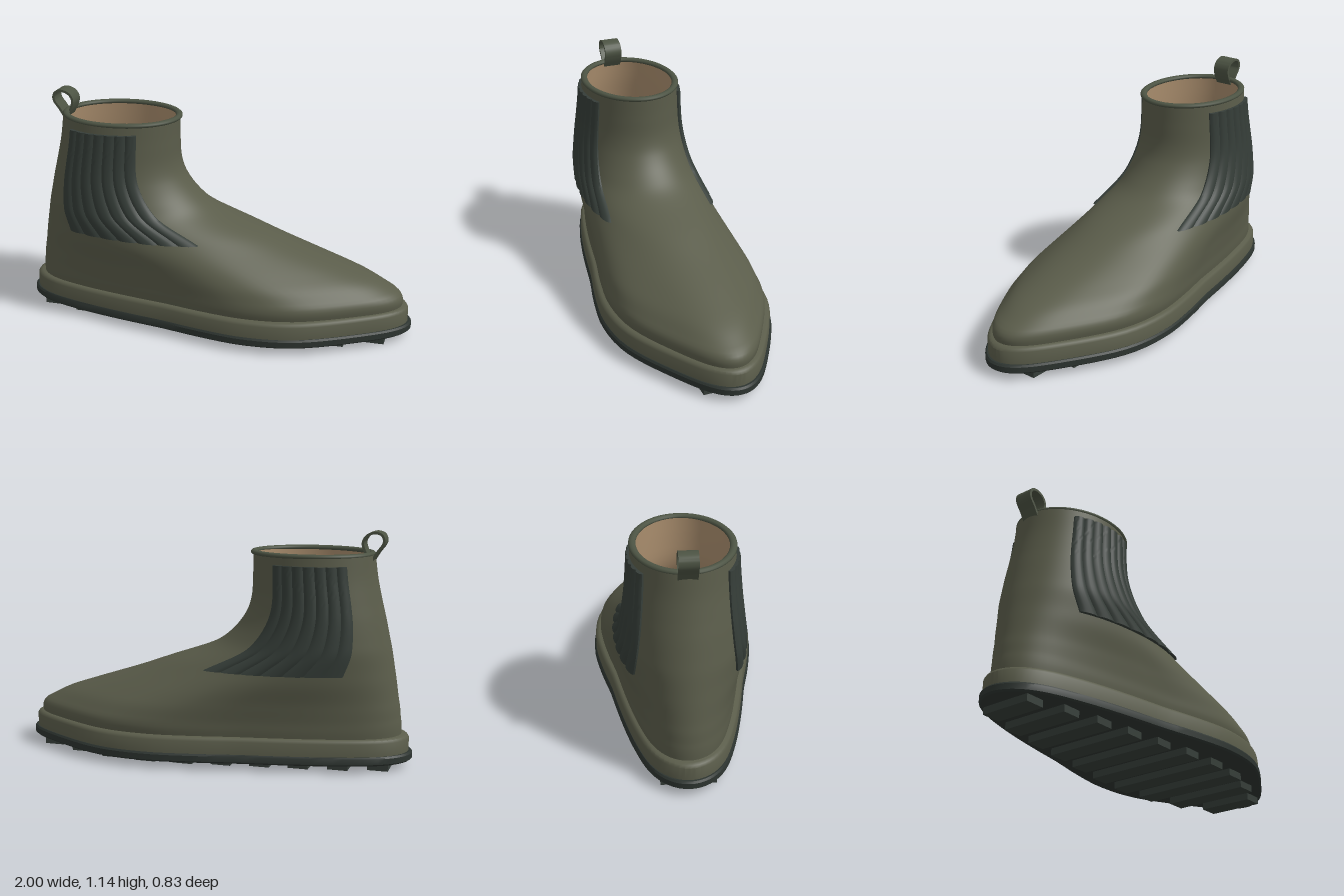
import * as THREE from 'three';
import { toCreasedNormals } from 'three/addons/utils/BufferGeometryUtils.js';

const material = (name, color, side = THREE.FrontSide) =>
  Object.assign(new THREE.MeshStandardMaterial({ color, side }), { name });

// Smooth interpolation through rows of [key, value, value, ...]
function sample(table, key, col) {
  const n = table.length;
  let i = 0;
  while (i < n - 2 && key > table[i + 1][0]) i++;
  const slope = (k) => {
    const a = table[Math.max(k - 1, 0)], b = table[Math.min(k + 1, n - 1)];
    return (b[col] - a[col]) / (b[0] - a[0]);
  };
  const p = table[i], q = table[i + 1], h = q[0] - p[0];
  const t = THREE.MathUtils.clamp((key - p[0]) / h, 0, 1), t2 = t * t, t3 = t2 * t;
  return (2 * t3 - 3 * t2 + 1) * p[col] + (t3 - 2 * t2 + t) * h * slope(i)
    + (3 * t2 - 2 * t3) * q[col] + (t3 - t2) * h * slope(i + 1);
}

// Foot plan relative to an ellipse, from heel (-1) to toe (1)
const PLAN = [[-1, 0.9], [-0.7, 0.79], [-0.24, 0.82], [0, 0.92], [0.25, 1.03],
  [0.51, 1.05], [0.83, 0.87], [1, 0.82]];

// Upper: height, back x, front x, half width, blend from foot plan to ellipse
const UPPER = [
  [0.15, -0.945, 0.95, 0.375, 0], [0.19, -0.945, 0.953, 0.382, 0],
  [0.22, -0.943, 0.935, 0.38, 0.03], [0.24, -0.94, 0.9, 0.376, 0.07],
  [0.29, -0.935, 0.8, 0.366, 0.2], [0.337, -0.927, 0.665, 0.352, 0.36],
  [0.42, -0.915, 0.414, 0.327, 0.72], [0.48, -0.905, 0.25, 0.308, 0.92],
  [0.567, -0.89, 0.01, 0.29, 1], [0.636, -0.875, -0.09, 0.278, 1],
  [0.727, -0.855, -0.163, 0.265, 1], [0.81, -0.835, -0.193, 0.255, 1],
  [0.92, -0.812, -0.2, 0.246, 1], [1.035, -0.797, -0.2, 0.24, 1],
];

const planWidth = (u) => Math.sqrt(Math.max(0, 1 - u * u)) * sample(PLAN, u, 1);

function upperPoint(a, y, offset = 0) {
  const [back, front, w, blend] = [1, 2, 3, 4].map((c) => sample(UPPER, y, c));
  const at = (t) => {
    const g = THREE.MathUtils.lerp(sample(PLAN, Math.cos(t), 1), 1, blend);
    return [(back + front) / 2 + (front - back) / 2 * Math.cos(t), w * Math.sin(t) * g];
  };
  const [x, z] = at(a), [x0, z0] = at(a - 0.01), [x1, z1] = at(a + 0.01);
  const len = Math.hypot(x1 - x0, z1 - z0);
  return [x + offset * (z1 - z0) / len, y, z - offset * (x1 - x0) / len];
}

// Surface from rows of points; closed rows wrap round
function grid(rows, cols, closed, point) {
  const pos = [], index = [], stride = closed ? cols : cols + 1;
  for (let i = 0; i <= rows; i++)
    for (let j = 0; j < stride; j++) pos.push(...point(i, j));
  for (let i = 0; i < rows; i++)
    for (let j = 0; j < cols; j++) {
      const a = i * stride + j, b = i * stride + (j + 1) % stride;
      index.push(a, a + stride, b, b, a + stride, b + stride);
    }
  const g = new THREE.BufferGeometry();
  g.setAttribute('position', new THREE.Float32BufferAttribute(pos, 3));
  g.setIndex(index);
  g.computeVertexNormals();
  return g;
}

// Foot-shaped layer from a profile of [y, half length, half width]
function soleLayer(profile) {
  const n = 96;
  return toCreasedNormals(grid(profile.length - 1, n, true, (i, j) => {
    const [y, l, w] = profile[i], a = j / n * Math.PI * 2;
    return [l * Math.cos(a), y, w * Math.sin(a) * sample(PLAN, Math.cos(a), 1)];
  }), 0.6);
}

export function createModel() {
  const boot = new THREE.Group();
  boot.name = 'boot';
  const olive = material('olive upper', 0x5a5c4a);
  const trim = material('trim green', 0x4c5343);
  const elastic = material('dark elastic', 0x353d38);
  const rubber = material('dark rubber', 0x2d3430);
  const tan = material('tan lining', 0xa98d6d, THREE.DoubleSide);
  const add = (name, geometry, mat) => {
    const mesh = new THREE.Mesh(geometry, mat);
    mesh.name = name;
    boot.add(mesh);
    return mesh;
  };

  // Upper
  const N = 96, ROWS = 70;
  add('upper', grid(ROWS, N, true, (i, j) =>
    upperPoint(j / N * Math.PI * 2, 0.15 + 0.885 * i / ROWS)), olive);

  // Lining with a closed floor
  add('lining', toCreasedNormals(grid(21, N, true, (i, j) => {
    if (i === 0) return [-0.35, 0.4, 0];
    return upperPoint(j / N * Math.PI * 2, 0.4 + 0.635 * (i - 1) / 20, -0.02);
  }), 0.8), tan);

  // Rolled collar
  const ring = [];
  for (let k = 0; k < 48; k++) {
    const a = k / 48 * Math.PI * 2;
    ring.push(new THREE.Vector3(-0.493 + 0.289 * Math.cos(a), 0, 0.229 * Math.sin(a)));
  }
  const collar = add('collar', new THREE.TubeGeometry(
    new THREE.CatmullRomCurve3(ring, true), 96, 0.017, 10, true), trim);
  collar.position.y = 1.033;
  collar.scale.y = 0.7;

  // Ribbed elastic side panels
  const ribs = 7, per = 6, cols = ribs * per + 2, rows = 32;
  for (const side of [1, -1]) {
    const panel = grid(rows, cols, false, (i, j) => {
      const c = THREE.MathUtils.clamp(j - 1, 0, ribs * per);
      const r = THREE.MathUtils.clamp(i - 1, 0, rows - 2) / (rows - 2);
      const y = 0.472 + 0.516 * r;
      const start = THREE.MathUtils.degToRad(side > 0 ? 60 : -130);
      const a = start + THREE.MathUtils.degToRad(70) * c / (ribs * per);
      const rim = i === 0 || i === rows || j === 0 || j === cols;
      const bump = Math.sqrt(Math.sin((c % per) / per * Math.PI));
      return upperPoint(a, y, rim ? -0.008 : 0.009 + 0.009 * bump);
    });
    add(side > 0 ? 'frontElasticPanel' : 'backElasticPanel',
      toCreasedNormals(panel, 0.7), elastic);
  }

  // Heel pull loop
  const path = new THREE.CatmullRomCurve3([
    [-0.787, 1.0], [-0.815, 1.045], [-0.845, 1.09], [-0.838, 1.124], [-0.805, 1.137],
    [-0.763, 1.122], [-0.745, 1.09], [-0.752, 1.055], [-0.775, 1.01],
  ].map(([x, y]) => new THREE.Vector3(x, y, 0)));
  const outer = [], inner = [];
  for (let k = 0; k <= 40; k++) {
    const p = path.getPoint(k / 40), t = path.getTangent(k / 40);
    outer.push(new THREE.Vector2(p.x - t.y * 0.006, p.y + t.x * 0.006));
    inner.unshift(new THREE.Vector2(p.x + t.y * 0.006, p.y - t.x * 0.006));
  }
  const loop = new THREE.ExtrudeGeometry(new THREE.Shape([...outer, ...inner]),
    { depth: 0.09, bevelEnabled: false });
  loop.translate(0, 0, -0.045);
  add('pullLoop', toCreasedNormals(loop, 0.7), trim);

  // Midsole and outsole
  add('midsole', soleLayer([[0.075, 0, 0], [0.075, 0.982, 0.409], [0.142, 0.982, 0.409],
    [0.154, 0.974, 0.402], [0.16, 0.96, 0.39], [0.16, 0, 0]]), olive);
  add('outsole', soleLayer([[0.035, 0, 0], [0.035, 0.99, 0.408], [0.043, 1, 0.417],
    [0.07, 1, 0.417], [0.079, 0.992, 0.41], [0.079, 0, 0]]), rubber);

  // Tread lugs
  for (let k = 0; k < 10; k++) {
    const x = -0.855 + 0.188 * k;
    const lug = add('treadLug', new THREE.BoxGeometry(0.1, 0.04, 0.6 * planWidth(x)), elastic);
    lug.position.set(x, 0.02, 0);
  }
  return boot;
}
